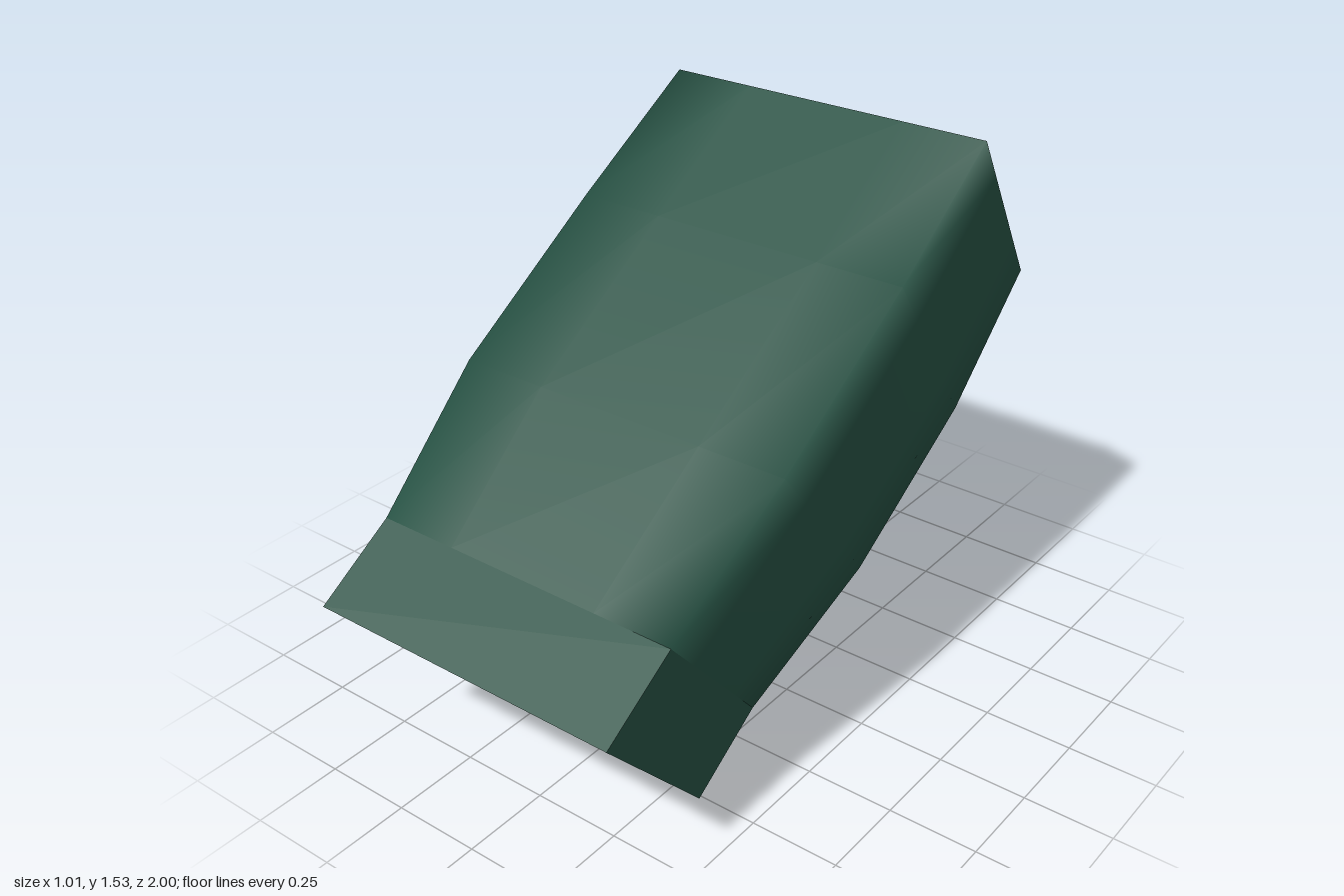
import * as THREE from 'three';

// Slanted sections, front to back: top z, y, half width; bottom z, y, half width
const sections = [
  [1.0, 0.54, 0.46, 0.51, 0.005, 0.335],
  [0.77, 0.685, 0.46, 0.28, 0.155, 0.335],
  [0.4, 0.97, 0.505, -0.14, 0.395, 0.385],
  [-0.08, 1.28, 0.505, -0.6, 0.69, 0.39],
  [-0.475, 1.535, 0.49, -1.0, 0.965, 0.355],
];

// Point on a section: u runs -1..1 across, v runs 0..1 from bottom to top
function at([zt, yt, wt, zb, yb, wb], [u, v]) {
  const mix = THREE.MathUtils.lerp;
  return [u * mix(wb, wt, v), mix(yb, yt, v), mix(zb, zt, v)];
}

function quadGeometry(points, quads, smooth) {
  let g = new THREE.BufferGeometry();
  g.setAttribute('position', new THREE.Float32BufferAttribute(points.flat(), 3));
  g.setIndex(quads.flatMap(([a, b, c, d]) => [a, b, c, a, c, d]));
  if (!smooth) g = g.toNonIndexed();
  g.computeVertexNormals();
  return g;
}

// Side quads joining consecutive closed rings of n points
function ringQuads(rings, n) {
  const quads = [];
  for (let r = 0; r < rings - 1; r++) {
    for (let i = 0; i < n; i++) {
      const j = (i + 1) % n;
      quads.push([r * n + i, r * n + j, (r + 1) * n + j, (r + 1) * n + i]);
    }
  }
  return quads;
}

export function createModel() {
  const green = new THREE.MeshStandardMaterial({ color: 0x27523f });
  green.name = 'dark green paint';
  green.color.set(0x275244);
  const black = new THREE.MeshStandardMaterial({ color: 0x1e1b1b });
  black.name = 'dark lens';
  const model = new THREE.Group();
  const add = (name, geometry, material) => {
    const mesh = new THREE.Mesh(geometry, material);
    mesh.name = name;
    model.add(mesh);
    return mesh;
  };

  const corners = [[-1, 0], [-1, 1], [1, 1], [1, 0]];

  // Body shell: supporting points beside each corner keep the rounding narrow
  const loop = corners.flatMap((p, i) => {
    const q = corners[(i + 1) % 4];
    return [0, 0.25, 0.75].map(t => [p[0] + (q[0] - p[0]) * t, p[1] + (q[1] - p[1]) * t]);
  });
  const body = sections.slice(1);
  add('bodyShell', quadGeometry(body.flatMap(s => loop.map(p => at(s, p))), ringQuads(body.length, loop.length), true), green);

  // Flat end panels
  add('backPanel', quadGeometry(corners.map(p => at(sections[4], p)), [[0, 1, 2, 3]]), green);
  add('recessPanel', quadGeometry(corners.map(p => at(sections[1], p)), [[3, 2, 1, 0]]), green);

  // Hood: thin roof and side flaps, open underneath
  const hoodLoop = [...corners, [0.9, 0.05], [0.9, 0.945], [-0.9, 0.945], [-0.9, 0.05]];
  const hoodPoints = sections.slice(0, 2).flatMap(s => hoodLoop.map(p => at(s, p)));
  const frontEdge = [[7, 6, 1, 0], [6, 5, 2, 1], [5, 4, 3, 2]];
  add('hood', quadGeometry(hoodPoints, [...ringQuads(2, 8), ...frontEdge]), green);

  // Octagonal lens set on the recess panel
  const normal = new THREE.Vector3(0, -0.68, 0.73).normalize();
  const lensGeometry = new THREE.CylinderGeometry(0.245, 0.245, 0.08, 8).toNonIndexed();
  lensGeometry.computeVertexNormals();
  const lens = add('lens', lensGeometry, black);
  lens.quaternion.setFromUnitVectors(new THREE.Vector3(0, 1, 0), normal);
  lens.position.set(0, 0.43, 0.535);

  return model;
}
